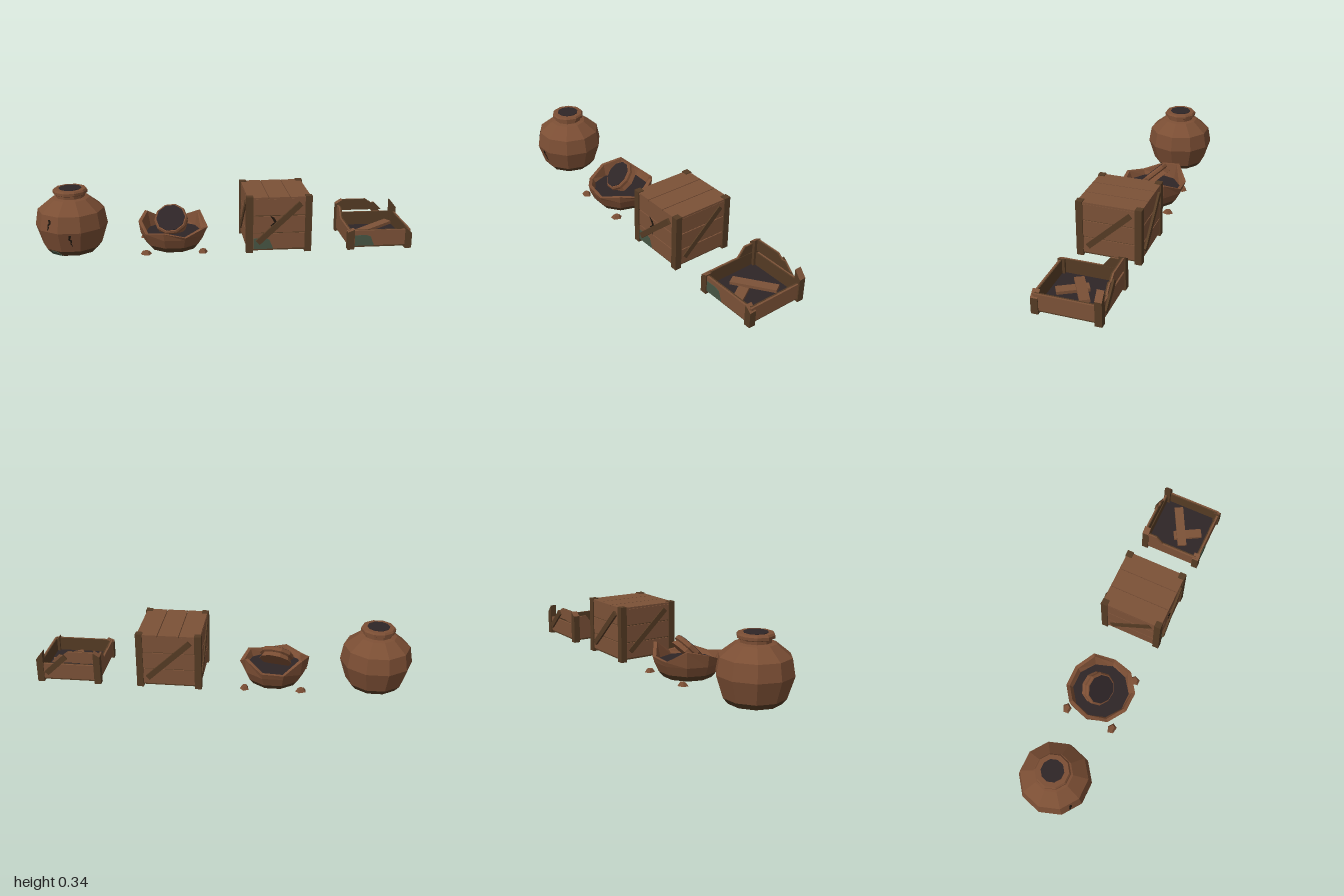
import * as THREE from 'three';

const mat = (name, color) => Object.assign(new THREE.MeshStandardMaterial({ color }), { name });

export function createModel() {
  const clay = mat('clay brown', 0x7b4e34);
  const wood = mat('plank wood', 0x7b5137);
  const trim = mat('dark wood trim', 0x553b24);
  const dark = mat('dark interior', 0x2e2527);
  const crackMat = mat('crack', 0x20170f);
  const moss = mat('moss', 0x465543);

  // Faceted mesh helper
  const add = (parent, name, geo, material, x = 0, y = 0, z = 0) => {
    const g = geo.index ? geo.toNonIndexed() : geo;
    g.computeVertexNormals();
    const m = new THREE.Mesh(g, material);
    m.name = name;
    m.position.set(x, y, z);
    parent.add(m);
    return m;
  };
  const group = (parent, name, x = 0, y = 0, z = 0) => {
    const g = new THREE.Group();
    g.name = name;
    g.position.set(x, y, z);
    parent.add(g);
    return g;
  };
  const vecs = (pts) => pts.map(([a, b]) => new THREE.Vector2(a, b));
  const box = (w, h, d) => new THREE.BoxGeometry(w, h, d);
  const lathe = (pts) => new THREE.LatheGeometry(vecs(pts), 10, Math.PI / 2);
  const disc = (r, h) => new THREE.CylinderGeometry(r, r, h, 10, 1, false, Math.PI / 2);
  const plate = (pts, depth = 0.003) =>
    new THREE.ExtrudeGeometry(new THREE.Shape(vecs(pts)), { depth, bevelEnabled: false });

  const zigzag = [[-0.004, 0.036], [0.008, 0.034], [0.002, 0.014], [0.011, 0.002], [0.007, -0.014],
    [0.012, -0.034], [0.002, -0.016], [0.004, -0.002], [-0.008, 0.012]];

  const root = new THREE.Group();
  root.name = 'jarsAndCrates';

  // Foot band and underside shared by both jars
  const foot = (jar) => add(jar, 'foot', lathe([[0, 0], [0.13, 0], [0.155, 0.03]]), trim);

  // Rim ring with dark mouth, base at y = 0
  const rim = (parent, mouth) => {
    add(parent, 'rim', lathe([[0, 0], [0.078, 0], [0.091, 0.006], [0.091, 0.02], [0.084, 0.029], [0, 0.029]]), clay);
    add(parent, 'mouth', disc(mouth, 0.004), dark, 0, 0.03, 0);
  };

  // Whole jar
  const jar = group(root, 'wholeJar', -0.81);
  foot(jar);
  add(jar, 'body', lathe([[0.155, 0.03], [0.19, 0.14], [0.175, 0.225], [0.1, 0.285], [0.076, 0.29], [0.076, 0.31]]), clay);
  rim(group(jar, 'jarRim', 0, 0.305), 0.059);
  const onFacet = (name, pts, material, turn, y, r, lean) => {
    const facet = group(jar, name + 'Facet');
    facet.rotation.y = turn;
    add(facet, name, plate(pts), material, 0, y, r).rotation.x = lean;
  };
  onFacet('lowerCrack', zigzag, crackMat, 0, 0.095, 0.167, 0.295);
  onFacet('upperCrack', zigzag.map(([x, y]) => [-x, y * 0.85]), crackMat, -Math.PI / 5, 0.175, 0.175, -0.166);
  onFacet('mossPatch', [[-0.035, -0.017], [0.035, -0.017], [0.02, 0.01], [-0.025, 0.014]], moss, -Math.PI / 5, 0.015, 0.1355, 0.67);

  // Broken jar: bowl with a jagged edge
  const broken = group(root, 'brokenJar', -0.27);
  foot(broken);
  const heights = [0.095, 0.16, 0.11, 0.105, 0.165, 0.14, 0.1, 0.12, 0.095, 0.12];
  const profile = [[0.155, 0.03], [0.178, 0.08], [0.187, 0], [0.168, 0], [0.15, 0.075]];
  const bowl = lathe(profile);
  for (let i = 0; i <= 10; i++)
    for (const j of [2, 3]) bowl.attributes.position.setY(i * profile.length + j, heights[i % 10]);
  add(broken, 'bowl', bowl, clay);
  add(broken, 'bowlInside', disc(0.153, 0.01), dark, 0, 0.073, 0);
  const fallen = group(broken, 'fallenRim', -0.01, 0.135, -0.01);
  fallen.rotation.set(0.78, 0, 0.15);
  rim(fallen, 0.078);
  add(fallen, 'fallenNeck', lathe([[0, -0.025], [0.088, -0.025], [0.076, 0.002]]), clay);

  // Shards on the ground
  [[-1, -1], [1, -1], [-1, 1], [1, 1]].forEach(([sx, sz], i) => {
    const s = add(broken, 'shard', new THREE.CylinderGeometry(0.018, 0.031, 0.017, 5), clay, sx * 0.15, 0.0085, sz * 0.135);
    s.rotation.y = i * 1.3 + 0.4;
    s.scale.z = 0.8;
  });

  // Four wall groups, each with its outside facing local +z: front, +x, back, -x
  const walls = (parent) => ['front', 'left', 'back', 'right'].map((n, i) => {
    const w = group(parent, n + 'Wall');
    w.rotation.y = i * Math.PI / 2;
    return w;
  });
  const plank = (wall, y0, y1) => add(wall, 'plank', box(0.325, y1 - y0, 0.01), wood, 0, (y0 + y1) / 2, 0.163);
  const mossPts = [[-0.135, 0.02], [-0.03, 0.02], [-0.05, 0.07], [-0.075, 0.08], [-0.135, 0.078]];

  // Whole crate
  const crate = group(root, 'wholeCrate', 0.28);
  add(crate, 'crateCore', box(0.324, 0.284, 0.324), trim, 0, 0.152, 0);
  const crateWalls = walls(crate);
  crateWalls.forEach((w, i) => {
    for (const [a, b] of [[0.02, 0.104], [0.11, 0.199], [0.205, 0.292]]) plank(w, a, b);
    const depth = i % 2 ? 0.007 : 0.013;
    add(w, 'brace', box(0.31, 0.03, depth), trim, 0, 0.162, 0.167 + depth / 2).rotation.z = 0.75;
  });
  const wallCrack = [[-0.05, 0.205], [-0.025, 0.19], [-0.012, 0.165], [-0.035, 0.15], [-0.02, 0.11],
    [-0.045, 0.148], [-0.026, 0.166], [-0.036, 0.184]];
  add(crateWalls[0], 'crack', plate(wallCrack), crackMat, 0, 0, 0.1675);
  add(crateWalls[0], 'mossPatch', plate(mossPts), moss, 0, 0, 0.1675);
  for (const x of [-0.113, 0, 0.113]) add(crate, 'lidPlank', box(0.109, 0.01, 0.34), wood, x, 0.298, 0);
  for (const x of [-1, 1]) for (const z of [-1, 1])
    add(crate, 'cornerPost', box(0.036, 0.307, 0.036), trim, x * 0.156, 0.1535, z * 0.156);

  // Broken crate
  const wreck = group(root, 'brokenCrate', 0.826);
  add(wreck, 'floor', box(0.325, 0.015, 0.325), trim, 0, 0.0175, 0);
  add(wreck, 'floorInside', box(0.312, 0.006, 0.312), dark, 0, 0.028, 0);
  const wreckWalls = walls(wreck);
  for (const w of wreckWalls) {
    plank(w, 0.02, 0.104);
    add(w, 'liner', box(0.308, 0.084, 0.006), trim, 0, 0.063, 0.155);
  }
  add(wreckWalls[0], 'mossPatch', plate(mossPts), moss, 0, 0, 0.1675);
  // Snapped upper planks, dark on the inside
  const snapped = (wall, pts) => {
    add(wall, 'snappedPlank', plate(pts, 0.008), wood, 0, 0, 0.16);
    add(wall, 'snappedLiner', plate(pts, 0.006), trim, 0, 0, 0.154);
  };
  snapped(wreckWalls[2], [[0.14, 0.118], [0.14, 0.18], [0, 0.18], [-0.03, 0.156], [-0.05, 0.16], [-0.09, 0.118]]);
  snapped(wreckWalls[3], [[-0.138, 0.104], [-0.05, 0.104], [-0.09, 0.155], [-0.138, 0.155]]);
  add(wreckWalls[2], 'snappedBrace', box(0.15, 0.03, 0.012), trim, -0.068, 0.102, 0.173).rotation.z = 0.75;

  // Corner posts broken on a slant: [x side, z side, outer height, inner height]
  for (const [sx, sz, low, high] of [[1, 1, 0.085, 0.115], [-1, 1, 0.098, 0.112], [1, -1, 0.13, 0.175], [-1, -1, 0.16, 0.183]]) {
    const g = box(0.036, 1, 0.036);
    const p = g.attributes.position;
    for (let i = 0; i < p.count; i++)
      p.setY(i, p.getY(i) < 0 ? 0 : p.getX(i) * sx > 0 ? low : high);
    add(wreck, 'brokenPost', g, [trim, trim, wood, trim, trim, trim], sx * 0.156, 0, sz * 0.156);
  }

  // Loose planks inside
  const longPlank = add(wreck, 'loosePlank', box(0.235, 0.016, 0.05), wood, 0.005, 0.062, -0.01);
  longPlank.rotation.set(0, 0.5, 0.1);
  const shortPlank = add(wreck, 'loosePlank', box(0.16, 0.016, 0.052), wood, -0.015, 0.042, 0.045);
  shortPlank.rotation.set(0, -1.05, 0);

  return root;
}
